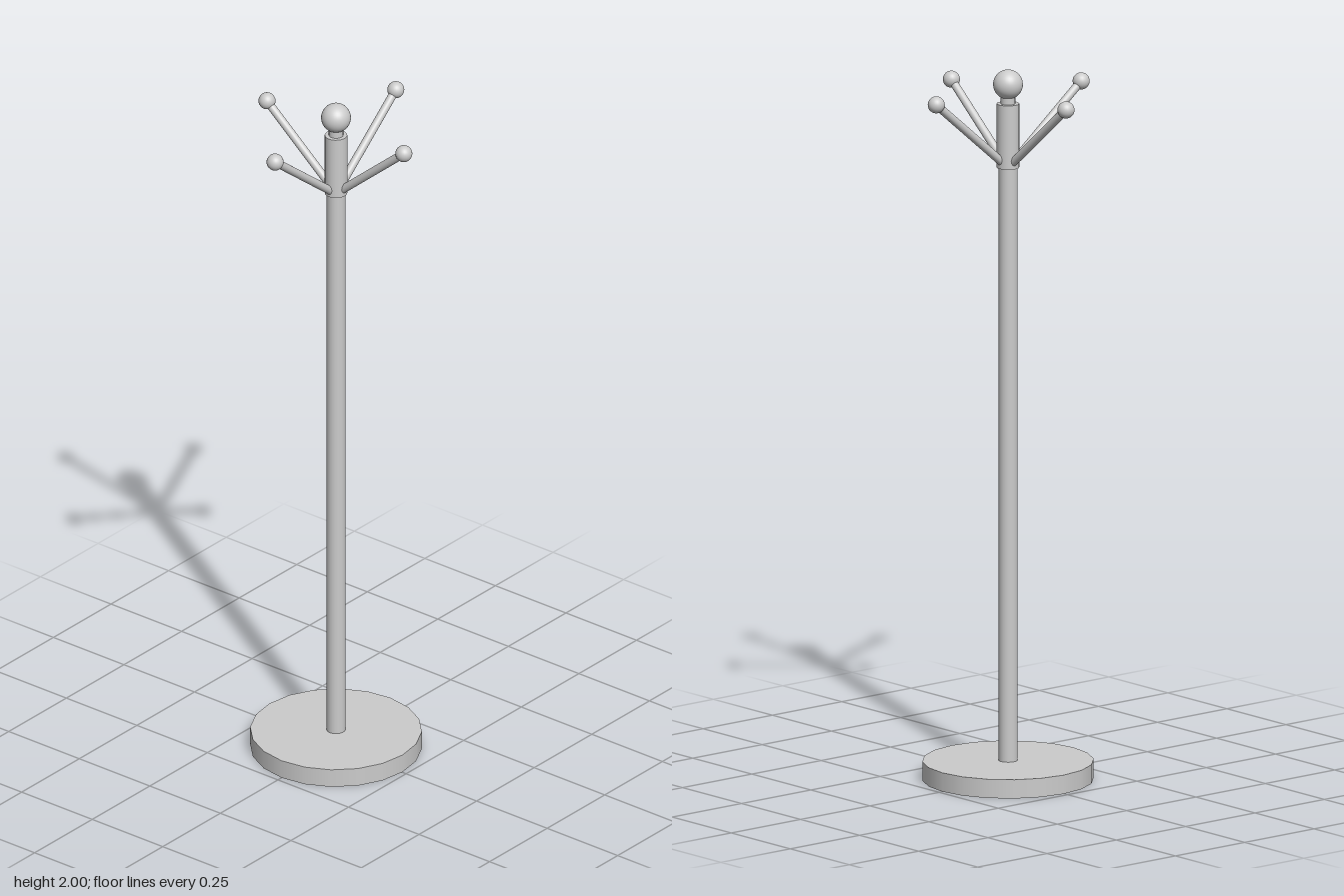
import * as THREE from 'three';

const material = new THREE.MeshStandardMaterial({ color: 0xcccccc });

function add(parent, name, geometry, x, y, z) {
  const mesh = new THREE.Mesh(geometry, material);
  mesh.name = name;
  mesh.position.set(x, y, z);
  parent.add(mesh);
  return mesh;
}

// Upright cylinder spanning two heights
function column(parent, name, radius, y0, y1, sides) {
  return add(parent, name, new THREE.CylinderGeometry(radius, radius, y1 - y0, sides), 0.002, (y0 + y1) / 2, 0);
}

// Sloping peg with a ball at its tip
function hook(parent, name, start, tip) {
  const group = new THREE.Group();
  group.name = name;
  const a = new THREE.Vector3(...start);
  const b = new THREE.Vector3(...tip);
  const dir = b.clone().sub(a);
  const mid = a.clone().add(b).multiplyScalar(0.5);
  const arm = add(group, name + 'Arm', new THREE.CylinderGeometry(0.0115, 0.0115, dir.length(), 20), mid.x, mid.y, mid.z);
  arm.quaternion.setFromUnitVectors(new THREE.Vector3(0, 1, 0), dir.normalize());
  add(group, name + 'Ball', new THREE.SphereGeometry(0.0235, 24, 16), ...tip);
  parent.add(group);
}

export function createModel() {
  const stand = new THREE.Group();
  stand.name = 'coatStand';

  // Base disc and post
  column(stand, 'base', 0.236, 0, 0.053, 20);
  column(stand, 'pole', 0.026, 0.04, 1.74, 20);

  // Thicker head with neck and finial ball
  column(stand, 'collar', 0.031, 1.725, 1.905, 20);
  column(stand, 'neck', 0.02, 1.9, 1.94, 20);
  add(stand, 'finial', new THREE.SphereGeometry(0.041, 32, 20), 0.002, 1.959, 0);

  // Four coat hooks
  hook(stand, 'leftHook', [0.01, 1.732, 0.002], [0.259, 1.94, 0.002]);
  hook(stand, 'rightHook', [-0.01, 1.732, -0.002], [-0.26, 1.929, -0.002]);
  hook(stand, 'frontHook', [0.003, 1.732, 0.01], [0, 1.93, 0.242]);
  hook(stand, 'backHook', [0.003, 1.732, -0.01], [0, 1.93, -0.243]);

  return stand;
}
